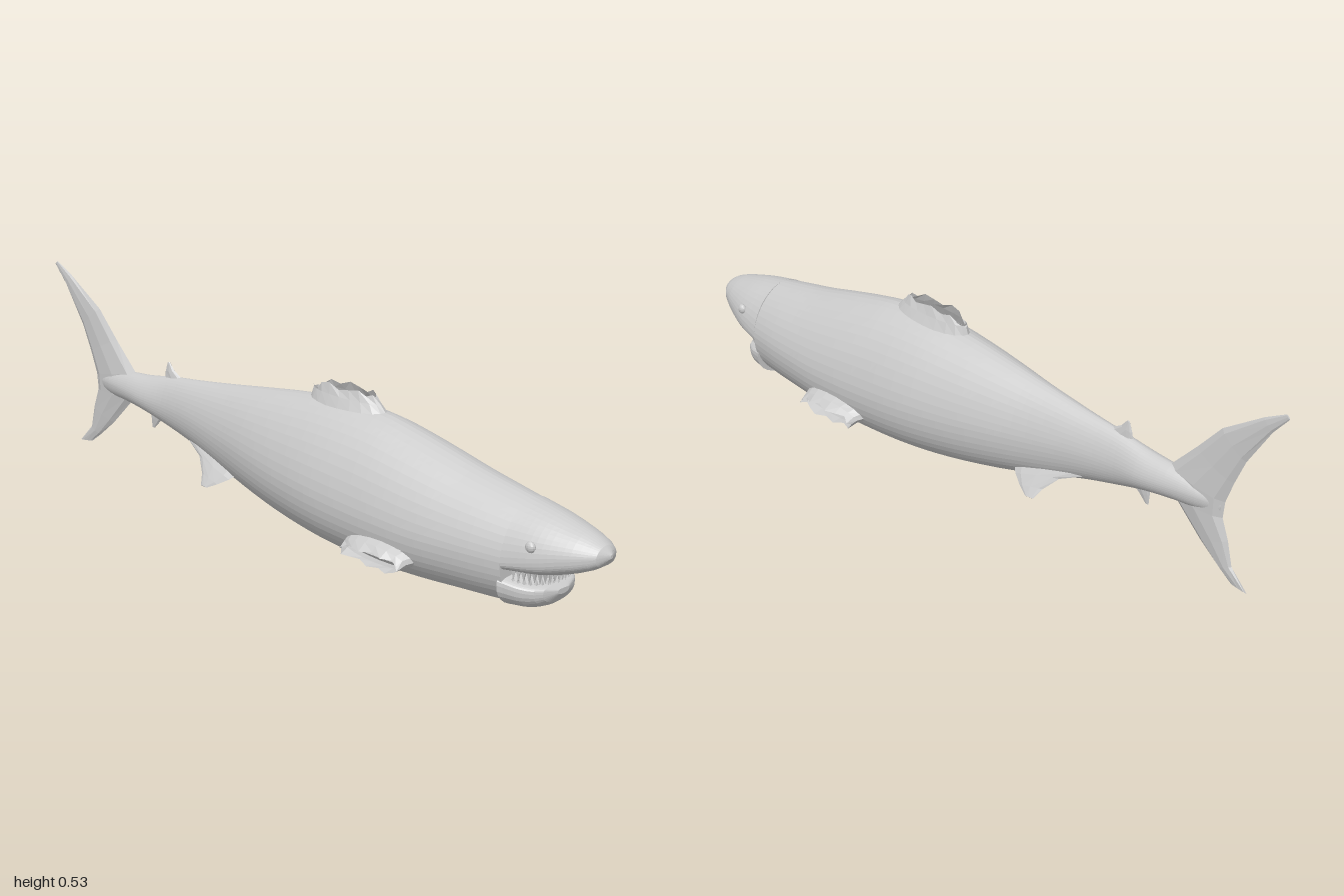
import * as THREE from 'three';

const V = (x, y, z) => new THREE.Vector3(x, y, z);
const grey = () => new THREE.MeshStandardMaterial({ color: 0xcccccc, flatShading: true, side: THREE.DoubleSide });

// Skins a list of closed point loops; skip(point) leaves openings, caps close the ends.
function skin(loops, caps = true, skip = () => false) {
  const n = loops[0].length, pts = loops.flat(), index = [];
  for (let i = 0; i < loops.length - 1; i++) {
    for (let j = 0; j < n; j++) {
      const a = i * n + j, d = i * n + (j + 1) % n, b = a + n, c = d + n;
      const mid = V(0, 0, 0);
      [a, b, c, d].forEach((k) => mid.addScaledVector(pts[k], 0.25));
      if (!skip(mid)) index.push(a, d, b, d, c, b);
    }
  }
  if (caps) {
    [0, loops.length - 1].forEach((i, end) => {
      const mid = V(0, 0, 0);
      loops[i].forEach((p) => mid.addScaledVector(p, 1 / n));
      const m = pts.push(mid) - 1;
      for (let j = 0; j < n; j++) {
        const a = i * n + j, b = i * n + (j + 1) % n;
        if (end) index.push(m, a, b); else index.push(m, b, a);
      }
    });
  }
  const geo = new THREE.BufferGeometry().setFromPoints(pts);
  geo.setIndex(index);
  geo.computeVertexNormals();
  return geo;
}

// Loft along z. Rows: z, top, bottom, half width, height of the widest line.
// up and down are superellipse exponents of the upper and lower halves.
function loft(rows, steps, sides, up, down, skip) {
  const times = rows.map((r) => -r[0]);
  const spline = new THREE.CubicInterpolant(times, new Float32Array(rows.flatMap((r) => r.slice(1))), 4);
  const loops = [];
  for (let i = 0; i <= steps; i++) {
    const t = THREE.MathUtils.lerp(times[0], times[times.length - 1], i / steps);
    const [top, bottom, w, mid] = spline.evaluate(t);
    loops.push(Array.from({ length: sides }, (_, j) => {
      const a = (j / sides) * Math.PI * 2, s = Math.sin(a), c = Math.cos(a);
      const e = 2 / (c > 0 ? up : down);
      const x = Math.sign(s) * Math.abs(s) ** e * w;
      const y = mid + Math.abs(c) ** e * (c > 0 ? top - mid : bottom - mid);
      return V(x, y, -t);
    }));
  }
  return skin(loops, true, skip);
}

// Fin from sections [leading point, trailing point, half thickness] with a lens profile.
function fin(sections, normal) {
  return skin(sections.map(([lead, trail, thick]) => Array.from({ length: 8 }, (_, j) => {
    const a = (j / 8) * Math.PI * 2;
    return V(...lead).lerp(V(...trail), (1 - Math.cos(a)) / 2).addScaledVector(normal, thick * Math.sin(a));
  })));
}
const flatFin = (rows) => fin(rows.map(([z1, y1, z2, y2, t]) => [[0, y1, z1], [0, y2, z2], t]), V(1, 0, 0));

export function createModel() {
  const model = new THREE.Group();
  const add = (name, geo, parent = model) => {
    const mesh = new THREE.Mesh(geo, grey());
    mesh.name = name;
    parent.add(mesh);
    return mesh;
  };

  // Trunk, open where the pectoral and dorsal stumps sit
  const opening = (p) =>
    (Math.abs(p.x) > 0.09 && ((p.z - 0.41) / 0.09) ** 2 + ((p.y - 0.083) / 0.028) ** 2 < 1) ||
    (p.y > 0.3 && ((p.z - 0.16) / 0.11) ** 2 + (p.x / 0.03) ** 2 < 1);
  add('body', loft([
    [0.765, 0.285, 0.02, 0.116, 0.15],
    [0.68, 0.3, 0.015, 0.13, 0.15],
    [0.6, 0.315, 0.011, 0.14, 0.15],
    [0.5, 0.338, 0.005, 0.15, 0.15],
    [0.4, 0.36, 0.001, 0.155, 0.155],
    [0.3, 0.378, 0.001, 0.155, 0.16],
    [0.15, 0.384, 0.01, 0.15, 0.17],
    [0, 0.37, 0.03, 0.13, 0.18],
    [-0.12, 0.353, 0.053, 0.107, 0.19],
    [-0.25, 0.333, 0.085, 0.078, 0.2],
    [-0.4, 0.312, 0.13, 0.053, 0.215],
    [-0.5, 0.3, 0.155, 0.042, 0.22],
    [-0.6, 0.283, 0.18, 0.043, 0.225],
    [-0.68, 0.275, 0.19, 0.035, 0.23],
    [-0.76, 0.26, 0.195, 0.022, 0.23],
    [-0.82, 0.24, 0.21, 0.005, 0.225],
  ], 72, 48, 1.75, 2.1, opening));

  // Snout with a flat palate, and the lower jaw
  add('snout', loft([
    [1, 0.205, 0.195, 0.004, 0.2],
    [0.985, 0.222, 0.175, 0.035, 0.197],
    [0.95, 0.24, 0.155, 0.06, 0.19],
    [0.9, 0.255, 0.137, 0.082, 0.18],
    [0.85, 0.268, 0.125, 0.099, 0.168],
    [0.765, 0.285, 0.12, 0.116, 0.15],
  ], 14, 48, 1.85, 2.8));
  add('lowerJaw', loft([
    [0.864, 0.084, 0.07, 0.02, 0.077],
    [0.852, 0.092, 0.05, 0.055, 0.078],
    [0.82, 0.098, 0.03, 0.088, 0.08],
    [0.755, 0.112, 0.02, 0.114, 0.09],
  ], 8, 32, 4, 2.2));

  // Two rows of pointed teeth around the mouth
  const teeth = new THREE.Group();
  teeth.name = 'teeth';
  model.add(teeth);
  const toothRow = (name, count, rx, rz, y, h, flip) => {
    for (let i = 0; i < count; i++) {
      const a = (i / (count - 1) - 0.5) * 2.7;
      const tooth = add(name, new THREE.ConeGeometry(0.007, h * (i % 2 ? 1 : 0.8), 4), teeth);
      tooth.position.set(Math.sin(a) * rx, y + (1 - Math.cos(a)) * 0.008, 0.765 + Math.cos(a) * rz);
      tooth.rotation.set(flip ? Math.PI : 0, a, 0);
    }
  };
  toothRow('upperTooth', 21, 0.092, 0.095, 0.113, 0.032, true);
  toothRow('lowerTooth', 17, 0.088, 0.078, 0.1, 0.026, false);

  // Tail and the small fins on the midline
  add('tailFin', flatFin([
    [-0.99, 0.535, -1, 0.525, 0.002],
    [-0.93, 0.505, -0.955, 0.475, 0.006],
    [-0.81, 0.43, -0.885, 0.37, 0.01],
    [-0.74, 0.355, -0.853, 0.3, 0.013],
    [-0.66, 0.275, -0.83, 0.24, 0.018],
    [-0.67, 0.2, -0.825, 0.195, 0.016],
    [-0.76, 0.11, -0.845, 0.14, 0.011],
    [-0.82, 0.06, -0.86, 0.075, 0.007],
    [-0.86, 0.03, -0.91, 0.023, 0.002],
  ]));
  add('secondDorsalFin', flatFin([
    [-0.45, 0.29, -0.54, 0.28, 0.01],
    [-0.5, 0.318, -0.535, 0.31, 0.006],
    [-0.518, 0.338, -0.526, 0.335, 0.002],
  ]));
  add('analFin', flatFin([
    [-0.53, 0.185, -0.6, 0.195, 0.009],
    [-0.565, 0.155, -0.598, 0.165, 0.006],
    [-0.585, 0.135, -0.595, 0.135, 0.002],
  ]));

  // Open dorsal stump with a ragged rim
  const ring = (n, f) => Array.from({ length: n }, (_, j) => f((j / n) * Math.PI * 2, j));
  add('dorsalStump', skin([
    ring(20, (a) => V(Math.sin(a) * 0.042, 0.371 + Math.cos(a) * 0.005, 0.16 + Math.cos(a) * 0.13)),
    ring(20, (a) => V(Math.sin(a) * 0.03, 0.397, 0.155 + Math.cos(a) * 0.115)),
    ring(20, (a, j) => V(Math.sin(a) * 0.021, 0.418 + (j % 3 - 1) * 0.006 - (Math.cos(a) < -0.6 ? 0.022 : 0), 0.145 + Math.cos(a) * 0.108)),
  ], false));

  // Paired parts: pectoral stumps, pelvic fins and eyes
  for (const s of [1, -1]) {
    const side = s > 0 ? 'left' : 'right';
    const collar = (out, drop, rz, ry, rag) => ring(18, (a, j) => {
      const dy = Math.sin(a) * ry, ragged = 1 - rag * ((j * 7) % 5) / 5;
      return V(s * (0.136 + dy * 0.5 + out * ragged), 0.083 + dy - drop * ragged, 0.4 + Math.cos(a) * rz);
    });
    add(side + 'PectoralStump', skin([
      collar(-0.004, 0, 0.112, 0.036, 0),
      collar(0.018, 0.003, 0.103, 0.03, 0),
      collar(0.045, 0.014, 0.098, 0.024, 0.45),
    ], false));

    add(side + 'PelvicFin', fin([
      [[s * 0.045, 0.12, -0.18], [s * 0.03, 0.155, -0.42], 0.01],
      [[s * 0.07, 0.095, -0.21], [s * 0.052, 0.125, -0.345], 0.007],
      [[s * 0.085, 0.078, -0.24], [s * 0.075, 0.09, -0.31], 0.005],
      [[s * 0.096, 0.064, -0.27], [s * 0.093, 0.064, -0.295], 0.002],
    ], V(s * 0.78, 0.62, 0)));

    const eye = add(side + 'Eye', new THREE.SphereGeometry(0.014, 12, 8));
    eye.position.set(s * 0.095, 0.204, 0.838);
    eye.scale.x = 0.7;
  }
  return model;
}
